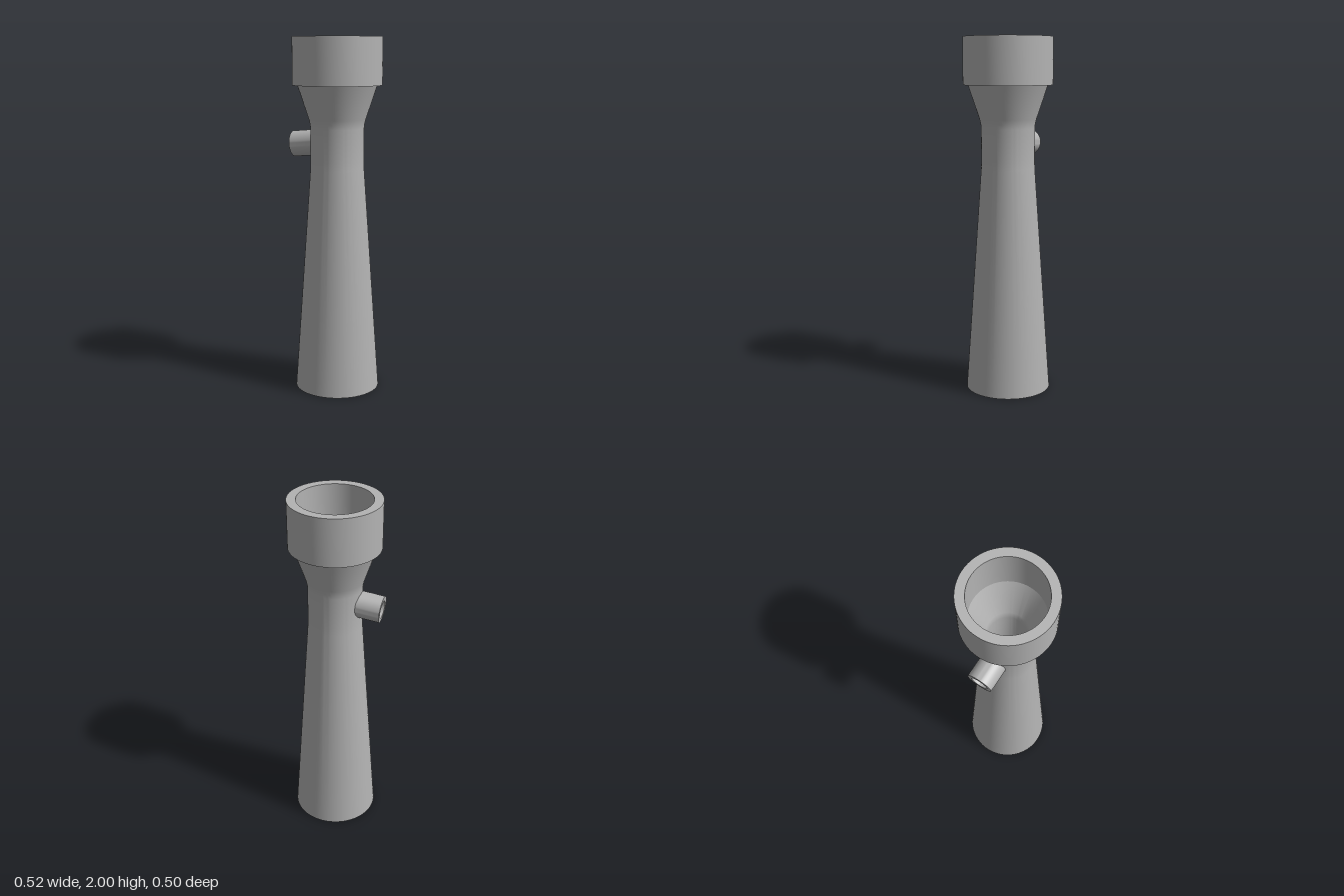
import * as THREE from 'three';
import { toCreasedNormals } from 'three/addons/utils/BufferGeometryUtils.js';

export function createModel() {
  const model = new THREE.Group();
  const grey = new THREE.MeshStandardMaterial({ color: 0xb3b3b3 });
  grey.name = 'plain grey';

  // Turned part: profile runs up the outside and down the inside
  const turned = (name, profile, segments) => {
    const points = profile.map(([r, y]) => new THREE.Vector2(r, y));
    const geometry = toCreasedNormals(new THREE.LatheGeometry(points, segments), 0.5);
    const mesh = new THREE.Mesh(geometry, grey);
    mesh.name = name;
    model.add(mesh);
    return mesh;
  };

  const axisX = 0.01;

  // Hollow venturi body: flared foot, straight throat, inlet cone
  const body = turned('venturiBody', [
    [0.195, 0], [0.24, 0],
    [0.151, 1.27], [0.15, 1.32], [0.15, 1.5], [0.153, 1.525], [0.159, 1.55],
    [0.222, 1.737], [0.2, 1.737],
    [0.113, 1.55], [0.107, 1.525], [0.106, 1.5], [0.106, 1.3],
    [0.195, 0],
  ], 96);
  body.position.x = axisX;

  // Socket collar on top
  const collar = turned('inletCollar', [
    [0.2, 1.737], [0.25, 1.737], [0.25, 2], [0.2, 2], [0.2, 1.737],
  ], 96);
  collar.position.x = axisX;

  // Side port, tipped slightly downward, set into the throat wall
  const port = turned('suctionPort', [
    [0.048, 0], [0.073, 0], [0.073, 0.135], [0.048, 0.135], [0.048, 0],
  ], 48);
  port.position.set(axisX - 0.132, 1.415, 0);
  port.rotation.z = THREE.MathUtils.degToRad(95.5);

  return model;
}
